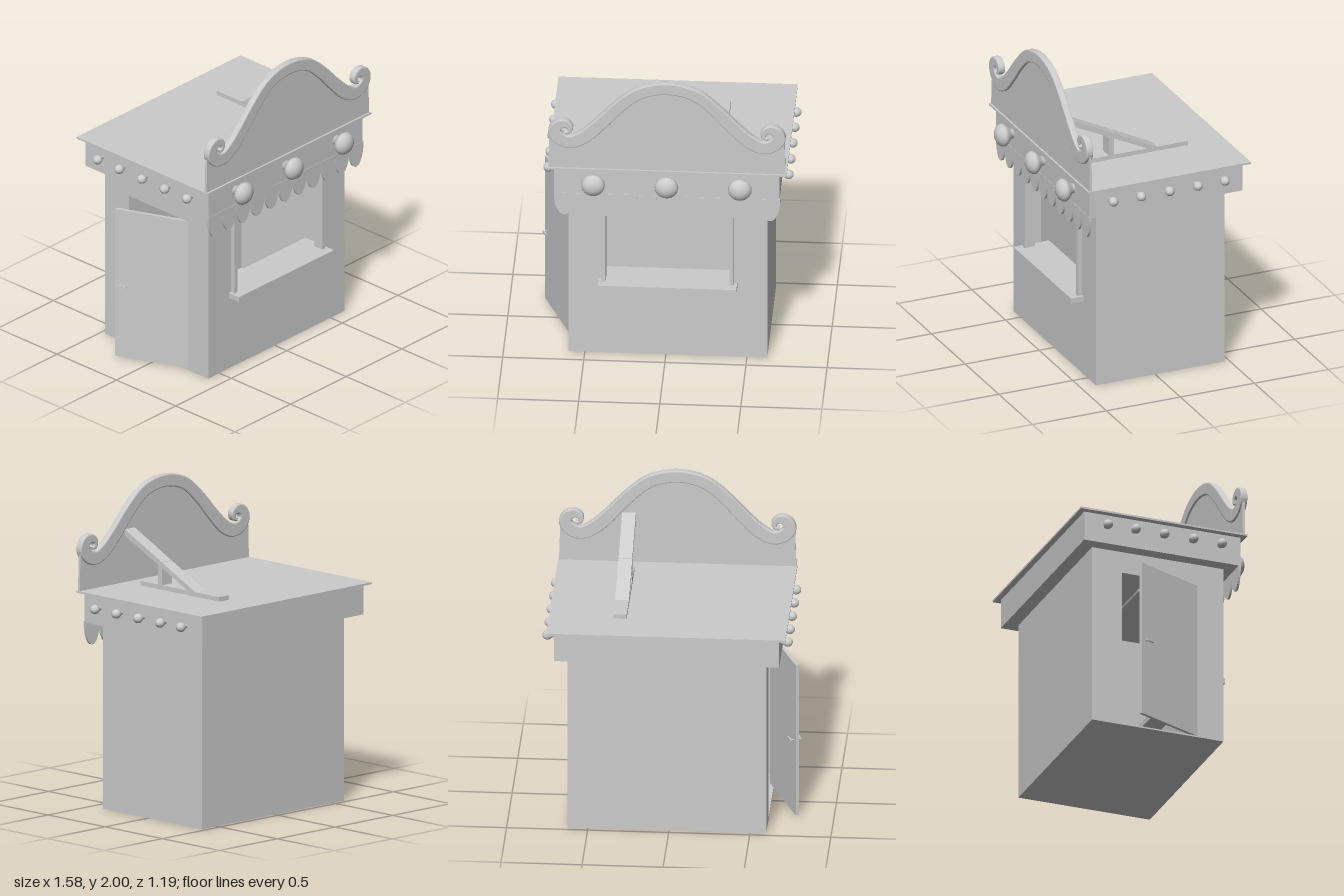
import * as THREE from 'three';

const MID = 0.0125; // centre line of the booth

export function createModel() {
  const root = new THREE.Group();
  const mat = new THREE.MeshStandardMaterial({ color: 0xcccccc, side: THREE.DoubleSide });

  const add = (name, geo, parent = root) => {
    const mesh = new THREE.Mesh(geo, mat);
    mesh.name = name;
    parent.add(mesh);
    return mesh;
  };
  // Box given by its limits on each axis
  const box = (name, x0, x1, y0, y1, z0, z1, parent) => {
    const mesh = add(name, new THREE.BoxGeometry(x1 - x0, y1 - y0, z1 - z0), parent);
    mesh.position.set((x0 + x1) / 2, (y0 + y1) / 2, (z0 + z1) / 2);
    return mesh;
  };
  const poly = (pts) => new THREE.Shape(pts.map(([x, y]) => new THREE.Vector2(x, y)));
  const rect = (x0, x1, y0, y1) => poly([[x0, y0], [x1, y0], [x1, y1], [x0, y1]]);
  const extrude = (shape, depth) =>
    new THREE.ExtrudeGeometry(shape, { depth, bevelEnabled: false, curveSegments: 12 });

  // Hut: floor, plain walls, front wall with window, side wall with doorway
  box('floor', -0.6, 0.625, 0, 0.01, -0.47, 0.4);
  box('backWall', -0.6, 0.625, 0, 1.17, -0.47, -0.44);
  box('plainSideWall', 0.595, 0.625, 0, 1.17, -0.47, 0.4);

  const frontShape = rect(-0.6, 0.625, 0, 1.17);
  frontShape.holes.push(rect(-0.37, 0.395, 0.5, 1.165));
  add('frontWall', extrude(frontShape, 0.03)).position.z = 0.37;

  const sideShape = rect(-0.47, 0.4, 0, 1.17);
  sideShape.holes.push(rect(-0.27, 0.23, 0.01, 1.03));
  add('doorSideWall', extrude(sideShape, 0.03).rotateY(-Math.PI / 2)).position.x = -0.57;

  // Window: counter, side posts and a flap folded up inside
  box('counter', -0.415, 0.44, 0.49, 0.525, 0.245, 0.485);
  for (const s of [-1, 1]) {
    const x = MID + s * 0.395;
    box('windowPost', x - 0.0125, x + 0.0125, 0.525, 1.17, 0.36, 0.43);
  }
  const flap = box('windowFlap', -0.37, 0.395, 1.095, 1.11, -0.08, 0.37);
  flap.rotation.x = -0.26;

  // Door standing ajar, hinged at its front edge
  const door = new THREE.Group();
  door.name = 'door';
  door.position.set(-0.585, 0, 0.23);
  door.rotation.y = 0.4;
  root.add(door);
  box('doorLeaf', -0.01, 0.01, 0.01, 1.03, -0.485, 0, door);
  for (const s of [-1, 1]) {
    const stem = add('handleStem', new THREE.CylinderGeometry(0.005, 0.005, 0.025, 10), door);
    stem.rotation.z = Math.PI / 2;
    stem.position.set(s * 0.02, 0.51, -0.45);
    box('handleGrip', s * 0.032 - 0.005, s * 0.032 + 0.005, 0.503, 0.517, -0.457, -0.405, door);
  }

  // Fascia and roof
  box('fascia', -0.685, 0.705, 1.17, 1.36, -0.555, 0.48);
  box('roof', -0.725, 0.75, 1.36, 1.372, -0.592, 0.51);

  // Scalloped valance
  const tabs = 11, pitch = 1.395 / tabs;
  for (let i = 0; i < tabs; i++) {
    const shape = new THREE.Shape();
    shape.moveTo(-pitch / 2, 0.01);
    shape.lineTo(-pitch / 2, 0);
    shape.absellipse(0, 0, pitch / 2, 0.145, Math.PI, Math.PI * 2, false);
    shape.lineTo(pitch / 2, 0.01);
    const tab = add('valanceTab', extrude(shape, 0.014));
    tab.position.set(MID + (i - (tabs - 1) / 2) * pitch, 1.17, 0.468);
  }

  // Lamps: unit profile of radius and height, scaled per size
  const lamp = (r, h) => {
    const profile = [[0.42, 0], [0.42, 0.1], [0.6, 0.25], [0.88, 0.42], [1, 0.56],
      [0.97, 0.68], [0.82, 0.83], [0.5, 0.95], [0.25, 0.99], [0, 1]];
    return new THREE.LatheGeometry(profile.map(([a, b]) => new THREE.Vector2(a * r, b * h)), 24);
  };
  for (const x of [-0.44, MID, 0.465]) {
    add('frontLamp', lamp(0.073, 0.115).rotateX(Math.PI / 2)).position.set(x, 1.28, 0.48);
  }
  for (const z of [0.34, 0.152, -0.04, -0.23, -0.413]) {
    for (const s of [-1, 1]) {
      const mesh = add('sideLamp', lamp(0.03, 0.077).rotateZ(-s * Math.PI / 2));
      mesh.position.set(MID + s * 0.695, 1.28, z);
    }
  }

  // Crest trim: centre line and half width from the peak to the scroll tip
  const half = [[0, 1.96, 0.04], [0.1, 1.947, 0.04], [0.19, 1.91, 0.04], [0.3, 1.815, 0.041],
    [0.42, 1.685, 0.043], [0.51, 1.6, 0.045], [0.59, 1.562, 0.043], [0.655, 1.578, 0.043],
    [0.692, 1.625, 0.04], [0.678, 1.672, 0.035], [0.635, 1.69, 0.029], [0.598, 1.665, 0.02],
    [0.602, 1.633, 0.013], [0.628, 1.625, 0.011]];
  const full = [...half.slice(1).reverse().map(([x, y, w]) => [-x, y, w]), ...half];
  // The half width rides along as the third coordinate of the curve
  const curve = new THREE.CatmullRomCurve3(full.map((p) => new THREE.Vector3(...p)));
  const upper = [], lower = [];
  const steps = 130;
  for (let i = 0; i <= steps; i++) {
    const t = i / steps;
    const p = curve.getPoint(t), d = curve.getTangent(t);
    const k = p.z / Math.hypot(d.x, d.y);
    upper.push([p.x - d.y * k, p.y + d.x * k]);
    lower.push([p.x + d.y * k, p.y - d.x * k]);
  }
  const trim = add('crestTrim', new THREE.ExtrudeGeometry(poly([...lower, ...upper.reverse()]), {
    depth: 0.029, bevelThickness: 0.008, bevelSize: 0.008, bevelOffset: -0.008, bevelSegments: 2,
  }));
  trim.position.set(MID, 0, 0.478);

  // Crest board below the trim
  const edge = [];
  for (let i = 0; i <= 40; i++) {
    const p = curve.getPoint((7 + (i / 40) * 12) / 26);
    edge.push([p.x, p.y]);
  }
  const board = poly([[-0.732, 1.36], [0.732, 1.36], [0.725, 1.6], ...edge.reverse(), [-0.725, 1.6]]);
  add('crestBoard', extrude(board, 0.016)).position.set(MID, 0, 0.481);

  // Brace behind the crest
  box('braceFoot', 0.27, 0.355, 1.372, 1.4, -0.345, 0.345);
  box('bracePost', 0.27, 0.355, 1.4, 1.545, 0.155, 0.19);
  const strut = poly([[-0.135, 1.4], [-0.07, 1.4], [0.482, 1.665], [0.482, 1.705]]);
  add('braceStrut', extrude(strut, 0.085).rotateY(-Math.PI / 2)).position.x = 0.355;

  return root;
}
